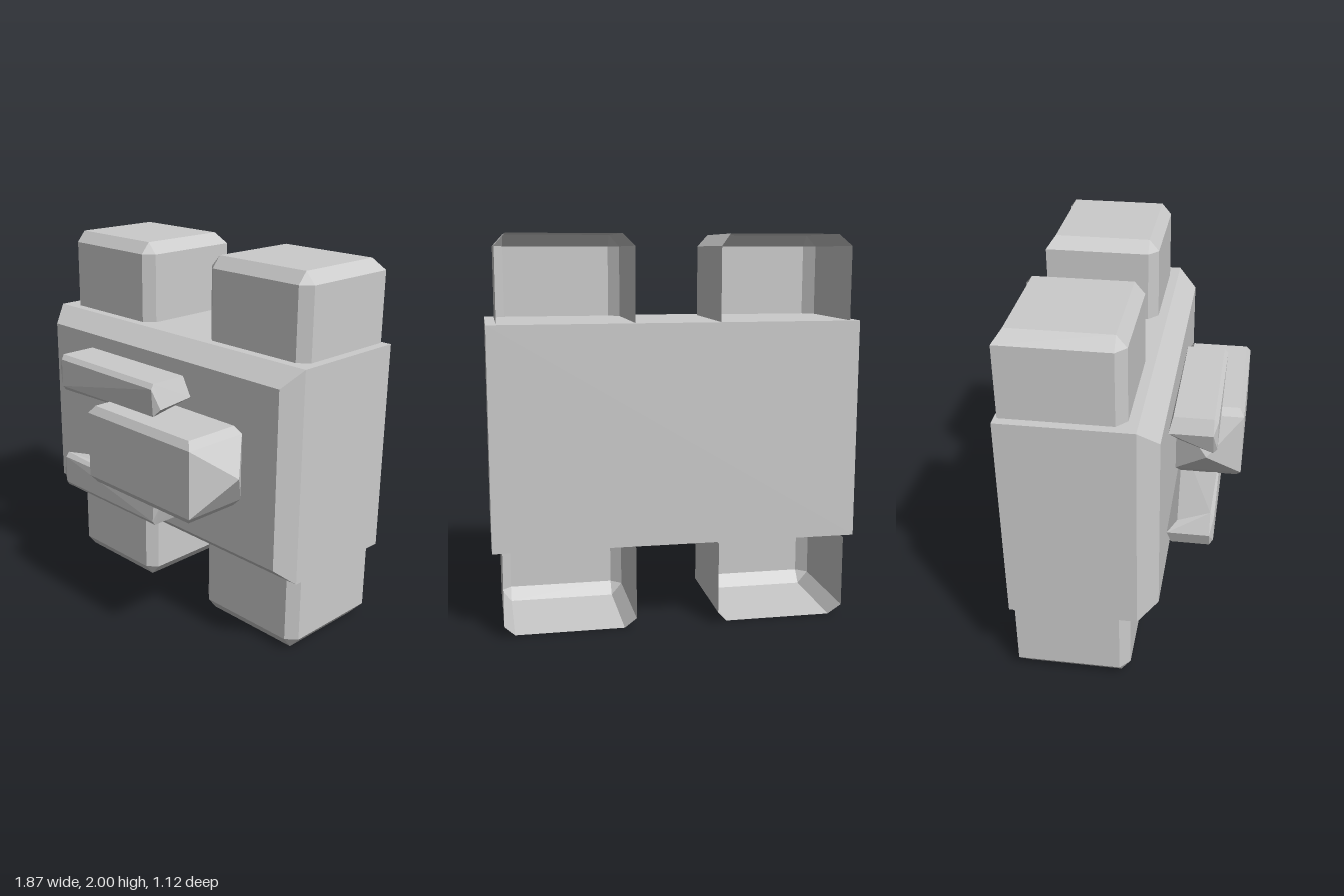
import * as THREE from 'three';
import { ConvexGeometry } from 'three/addons/geometries/ConvexGeometry.js';

const material = new THREE.MeshStandardMaterial({ color: 0xcccccc, flatShading: true });
const shellMaterial = new THREE.MeshStandardMaterial({
  color: 0xcccccc, flatShading: true, side: THREE.DoubleSide,
});

// Faceted solid spanned by a few corner points
function solid(name, points) {
  const geometry = new ConvexGeometry(points.map((p) => new THREE.Vector3(...p)));
  const mesh = new THREE.Mesh(geometry, material);
  mesh.name = name;
  return mesh;
}

// Corners of an upright rectangle at depth z
const rect = (x0, x1, y0, y1, z) => [[x0, y0, z], [x1, y0, z], [x1, y1, z], [x0, y1, z]];

// Chamfered hollow block, open at the back and at its base
function hollowBlock(name, width, height, chamfer) {
  const a = width / 2, b = a - 0.055, h = height, s = height - chamfer;
  const back = -0.545, front = 0.05;
  const arch = [[-a, 0], [-a, s], [-b, h], [b, h], [a, s], [a, 0]];
  const inner = [[-b, 0], [-b, s], [-b, s], [b, s], [b, s], [b, 0]];
  const sections = [
    arch.map(([x, y]) => new THREE.Vector3(x, y, y === h ? back + 0.045 : back)),
    arch.map(([x, y]) => new THREE.Vector3(x, y, 0)),
    inner.map(([x, y]) => new THREE.Vector3(x, y, front)),
    inner.map(([x]) => new THREE.Vector3(x, 0, front)),
  ];
  const points = [];
  const triangle = new THREE.Triangle();
  const add = (p, q, r) => {
    if (triangle.set(p, q, r).getArea() > 1e-6) points.push(p, q, r);
  };
  for (let i = 0; i < sections.length - 1; i++) {
    for (let j = 0; j < arch.length - 1; j++) {
      const p = sections[i][j], q = sections[i + 1][j];
      const r = sections[i + 1][j + 1], t = sections[i][j + 1];
      add(p, q, r);
      add(p, r, t);
    }
  }
  const geometry = new THREE.BufferGeometry().setFromPoints(points);
  geometry.computeVertexNormals();
  const mesh = new THREE.Mesh(geometry, shellMaterial);
  mesh.name = name;
  return mesh;
}

export function createModel() {
  const group = new THREE.Group();

  // Main slab with a bevelled front
  group.add(solid('body', [
    ...rect(-0.935, 0.93, 0.45, 1.57, -0.56),
    ...rect(-0.935, 0.93, 0.45, 1.57, 0.1),
    ...rect(-0.865, 0.86, 0.535, 1.48, 0.2),
  ]));

  // Two blocks on top, two turned over underneath
  for (const [side, x] of [['right', -0.553], ['left', 0.545]]) {
    const upper = hollowBlock(side + 'UpperBlock', 0.67, 0.435, 0.06);
    upper.position.set(x, 1.565, 0);
    const lower = hollowBlock(side + 'LowerBlock', 0.67, 0.435, 0.065);
    lower.rotation.z = Math.PI;
    lower.position.set(x, 0.435, 0);
    group.add(upper, lower);
  }

  // Central block with pointed ends
  group.add(solid('centreBlock', [
    ...rect(-0.13, 0.63, 0.85, 1.2, 0.2),
    ...rect(-0.13, 0.63, 0.85, 1.2, 0.555),
    ...rect(-0.1, 0.6, 0.815, 1.24, 0.225),
    ...rect(-0.1, 0.6, 0.815, 1.24, 0.53),
    [0.74, 1.03, 0.33], [-0.22, 0.99, 0.37],
  ]));

  // Slanted bars above and below the central block, mirrored in height
  const bar = [
    [-0.51, 1.41, 0.22], [0.23, 1.41, 0.22], [-0.51, 1.41, 0.42], [0.23, 1.41, 0.42],
    [-0.5, 1.385, 0.44], [0.235, 1.385, 0.44], [0.235, 1.24, 0.43], [-0.5, 1.235, 0.44],
    [-0.5, 1.21, 0.42], [-0.5, 1.275, 0.25],
    [-0.54, 1.33, 0.2], [-0.54, 1.33, 0.42], [0.27, 1.28, 0.41], [0.265, 1.3, 0.2],
  ];
  group.add(solid('upperBar', bar));
  group.add(solid('lowerBar', bar.map(([x, y, z]) => [x, 2.05 - y, z])));

  return group;
}
